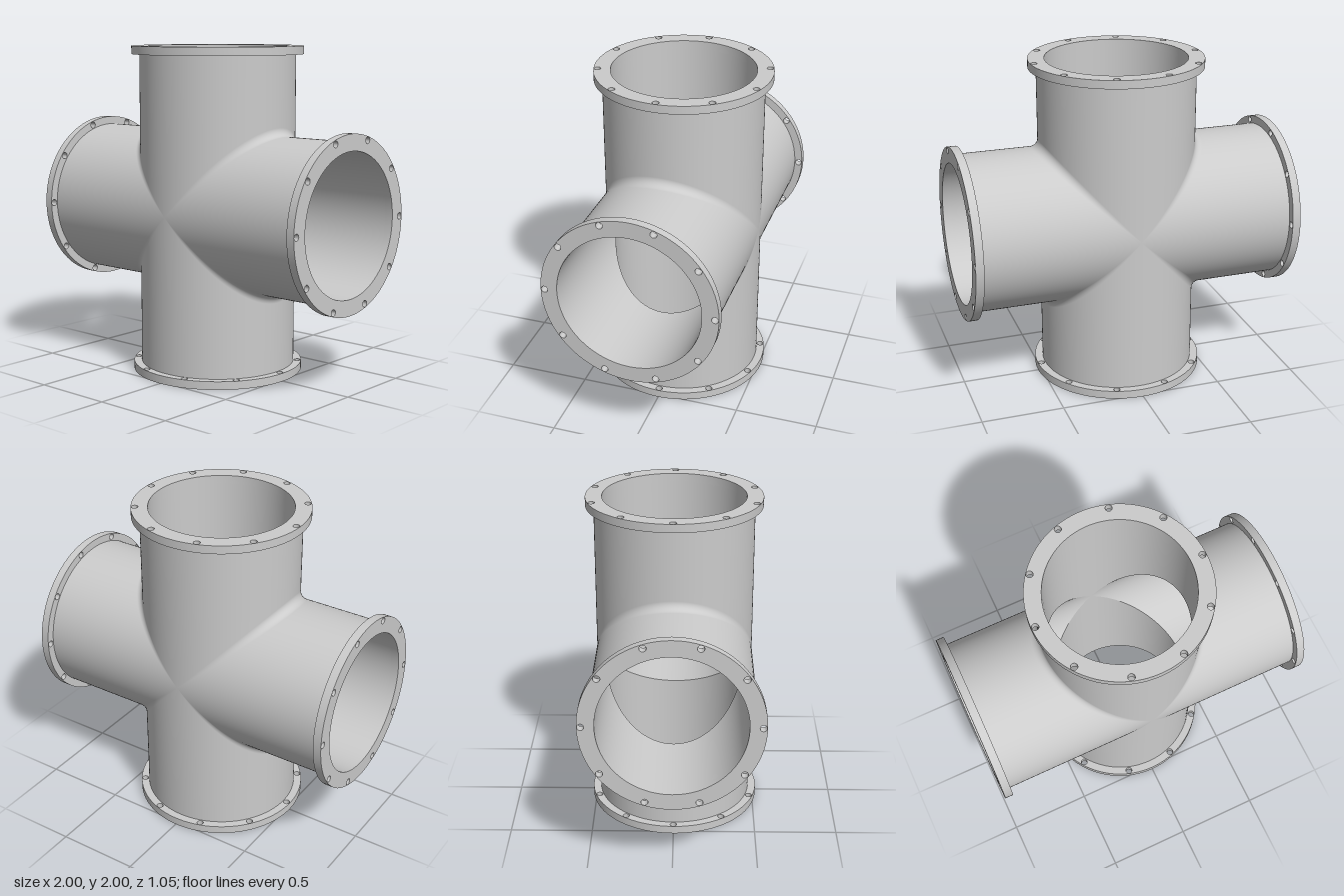
import * as THREE from 'three';
import { toCreasedNormals } from 'three/addons/utils/BufferGeometryUtils.js';

const R_OUT = 0.475, R_BORE = 0.425, FILLET = 0.05;
const R_FLANGE = 0.523, FLANGE_T = 0.05, R_BOLTS = 0.5, R_HOLE = 0.02, BOLTS = 10;
const SEGMENTS = 128;

// Skin around the x axis: sample(angle, row) returns [position, normal]
function skin(rows, sample, inward) {
  const positions = [], normals = [], index = [];
  for (let j = 0; j <= SEGMENTS; j++) {
    for (let i = 0; i < rows; i++) {
      const [p, n] = sample((j / SEGMENTS) * Math.PI * 2, i);
      positions.push(p.x, p.y, p.z);
      normals.push(n.x, n.y, n.z);
      if (j === SEGMENTS || i === rows - 1) continue;
      const a = j * rows + i, b = a + 1, c = a + rows, d = c + 1;
      if (inward) index.push(a, c, b, b, c, d);
      else index.push(a, b, c, b, d, c);
    }
  }
  const g = new THREE.BufferGeometry();
  g.setAttribute('position', new THREE.Float32BufferAttribute(positions, 3));
  g.setAttribute('normal', new THREE.Float32BufferAttribute(normals, 3));
  g.setIndex(index);
  return g;
}

// Outer wall: straight from the flange, then half of a rolling-ball fillet up to the mitre plane
function outerWall() {
  const steps = 6, k = R_OUT + FILLET;
  return skin(steps + 2, (angle, row) => {
    const c = Math.cos(angle), s = Math.sin(angle);
    if (row === 0) {
      return [new THREE.Vector3(1 - FLANGE_T, R_OUT * c, R_OUT * s), new THREE.Vector3(0, c, s)];
    }
    const center = new THREE.Vector3(k * Math.abs(c), k * c, k * s);
    const normal = new THREE.Vector3(0, c, s)
      .lerp(new THREE.Vector3(Math.abs(c), 0, s), (0.5 * (row - 1)) / steps)
      .normalize();
    return [center.addScaledVector(normal, -FILLET), normal];
  }, false);
}

// Bore: plain cylinder cut by the mitre plane
function boreWall() {
  return skin(2, (angle, row) => {
    const c = Math.cos(angle), s = Math.sin(angle);
    const x = row === 0 ? 1 - FLANGE_T : R_BORE * Math.abs(c);
    return [new THREE.Vector3(x, R_BORE * c, R_BORE * s), new THREE.Vector3(0, -c, -s)];
  }, true);
}

function circle(r, n, cx = 0, cy = 0) {
  return Array.from({ length: n }, (_, i) => {
    const a = (i / n) * Math.PI * 2;
    return new THREE.Vector2(cx + r * Math.cos(a), cy + r * Math.sin(a));
  });
}

// Flange ring with bolt holes, lying at the end of the x axis
function flange(phase) {
  const shape = new THREE.Shape(circle(R_FLANGE, SEGMENTS));
  shape.holes.push(new THREE.Path(circle(R_BORE, SEGMENTS)));
  for (let i = 0; i < BOLTS; i++) {
    const a = phase + (i / BOLTS) * Math.PI * 2;
    shape.holes.push(new THREE.Path(
      circle(R_HOLE, 20, R_BOLTS * Math.cos(a), R_BOLTS * Math.sin(a))));
  }
  const g = new THREE.ExtrudeGeometry(shape, { depth: FLANGE_T, bevelEnabled: false });
  g.rotateY(Math.PI / 2).translate(1 - FLANGE_T, 0, 0);
  return toCreasedNormals(g, 0.6);
}

export function createModel() {
  const model = new THREE.Group();
  model.name = 'pipeCross';
  const material = new THREE.MeshStandardMaterial({ color: 0xcccccc });
  const wall = outerWall(), bore = boreWall();
  const names = ['leftArm', 'topArm', 'rightArm', 'bottomArm'];

  names.forEach((name, i) => {
    const arm = new THREE.Group();
    arm.name = name;
    const add = (part, geometry) => {
      const mesh = new THREE.Mesh(geometry, material);
      mesh.name = part;
      arm.add(mesh);
    };
    add('pipeWall', wall);
    add('pipeBore', bore);
    // Upright arms have their bolt circle turned a quarter
    add('flange', flange(i % 2 ? Math.PI / 2 : 0));
    arm.rotation.z = (i * Math.PI) / 2;
    arm.position.y = 1;
    model.add(arm);
  });
  return model;
}
